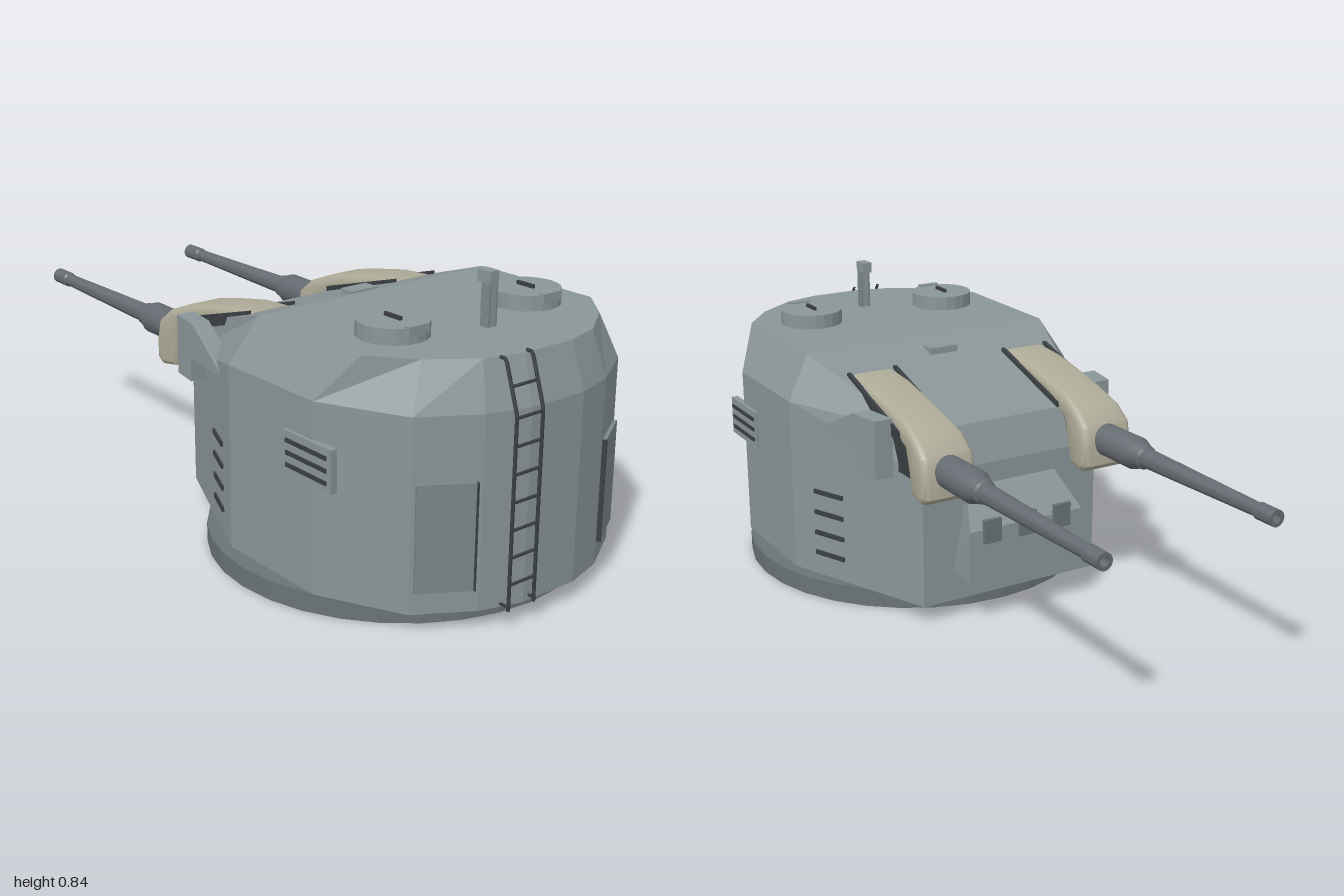
import * as THREE from 'three';
import { toCreasedNormals } from 'three/addons/utils/BufferGeometryUtils.js';

const paint = (color, extra = {}) => new THREE.MeshStandardMaterial({ color, ...extra });
const HULL = paint(0x8a9598, { flatShading: true });
const PLATE = paint(0x7c8789, { flatShading: true });
const BASE = paint(0x6a7375, { flatShading: true });
const DARK = paint(0x3a3f43);
const STEEL = paint(0x656b71);
const CANVAS = paint(0xaeab98);

function add(parent, name, geometry, material, pos = [0, 0, 0], ry = 0) {
  const mesh = new THREE.Mesh(geometry, material);
  mesh.name = name;
  mesh.position.set(...pos);
  mesh.rotation.y = ry;
  parent.add(mesh);
  return mesh;
}
const box = (w, h, d) => new THREE.BoxGeometry(w, h, d);

// Extrudes a (z, y) side profile across x, centred on x = 0
function sideExtrude(points, width, bevel = 0) {
  const shape = new THREE.Shape(points.map(p => new THREE.Vector2(...p)));
  const depth = width - 2 * bevel;
  const g = new THREE.ExtrudeGeometry(shape, {
    depth, bevelEnabled: bevel > 0, bevelSize: bevel, bevelThickness: bevel, bevelOffset: -bevel, bevelSegments: 3,
  });
  return g.translate(0, 0, -depth / 2).rotateY(-Math.PI / 2);
}

// Moves vertices by a rule
function reshape(g, rule) {
  const p = g.attributes.position, v = new THREE.Vector3();
  for (let i = 0; i < p.count; i++) {
    rule(v.fromBufferAttribute(p, i));
    p.setXYZ(i, v.x, v.y, v.z);
  }
  g.computeVertexNormals();
  return g;
}

// Faceted armour shell from three mirrored rings
function hullGeometry() {
  const mirror = half => [...half, ...half.map(([x, y, z]) => [-x, y, z]).reverse()];
  const mid = mirror([[.09, .57, .975], [.21, .57, .94], [.36, .57, .85], [.475, .57, .62], [.475, .57, .27], [.285, .45, -.18]]);
  const roof = mirror([[.08, .695, .935], [.19, .695, .905], [.31, .695, .82], [.4, .695, .71], [.4, .695, .3], [.28, .56, -.14]]);
  const low = mid.map(([x, , z]) => [x, .055, z]);
  const out = [];
  const fan = pts => {
    for (let i = 1; i < pts.length - 1; i++) out.push(...pts[0], ...pts[i], ...pts[i + 1]);
  };
  const n = mid.length;
  for (let i = 0; i < n; i++) {
    const j = (i + 1) % n;
    fan([low[i], low[j], mid[j], mid[i]]);
    fan([mid[i], mid[j], roof[j], roof[i]]);
  }
  fan([0, 1, 2, 3, 4, 7, 8, 9, 10, 11].map(i => roof[i]));
  fan([4, 5, 6, 7].map(i => roof[i]));
  fan([...low].reverse());
  const g = new THREE.BufferGeometry();
  g.setAttribute('position', new THREE.Float32BufferAttribute(out, 3));
  g.computeVertexNormals();
  return g;
}

function makeGun(side) {
  const gun = new THREE.Group();
  gun.name = side > 0 ? 'leftGun' : 'rightGun';
  gun.position.x = side * .258;

  // Barrel with sleeve, taper, muzzle ring and bore
  const profile = [[0, 0], [.045, 0], [.047, .26], [.036, .29], [.034, .305], [.028, .31], [.019, .77],
    [.023, .775], [.023, .84], [.013, .84], [.012, .79], [0, .79]].map(p => new THREE.Vector2(...p));
  const barrel = toCreasedNormals(new THREE.LatheGeometry(profile, 20).rotateX(-Math.PI / 2), .5);
  add(gun, 'barrel', barrel, STEEL, [0, .488, -.16]).rotation.x = .012;

  // Curved hood that drops over the front of the gun port
  const hood = reshape(sideExtrude([[.165, .655], [.06, .648], [-.06, .625], [-.15, .605], [-.225, .575], [-.275, .535],
    [-.288, .48], [-.29, .42], [-.265, .4], [-.2, .41], [-.185, .47], [-.16, .53], [-.08, .56], [.165, .6]], .142, .018),
  v => { v.x *= 1 + .16 * THREE.MathUtils.smoothstep(-v.z, .14, .26); });
  add(gun, 'hood', toCreasedNormals(hood, .7), CANVAS);
  // Rails beside the hood
  for (const s of [-1, 1])
    add(gun, 'hoodRail', sideExtrude([[.165, .663], [-.14, .575], [-.14, .54], [.165, .63]], .012), DARK, [s * .074, 0, 0]);
  add(gun, 'gunCradle', box(.12, .1, .16), DARK, [0, .495, -.12]);
  return gun;
}

export function createModel() {
  const model = new THREE.Group();
  model.name = 'gunTurret';

  add(model, 'baseRing', new THREE.CylinderGeometry(.525, .525, .055, 32), BASE, [0, .0275, .39]);
  add(model, 'armourShell', hullGeometry(), HULL);

  // Wedge box on the gun face, with three flaps
  const wedge = reshape(sideExtrude([[-.17, .14], [-.17, .4], [-.185, .385], [-.265, .29], [-.265, .14]].reverse(), .37),
    v => { if (v.y > .35) v.x *= .8; });
  add(model, 'faceBox', wedge, HULL);
  for (const x of [-.115, 0, .115]) add(model, 'faceFlap', box(.055, .07, .012), BASE, [x, .285, -.268]);

  // Sight block on the sloped roof
  add(model, 'roofSight', box(.09, .028, .05), HULL, [0, .67, .225]);

  // Periscope
  const scope = new THREE.Group();
  scope.name = 'periscope';
  add(scope, 'post', box(.02, .12, .022), HULL, [0, .75, .728]);
  for (const s of [-1, 1]) add(scope, 'postEdge', box(.005, .12, .03), PLATE, [s * .012, .75, .728]);
  add(scope, 'head', box(.03, .032, .046), HULL, [0, .825, .722]);
  model.add(scope);

  for (const s of [-1, 1]) {
    model.add(makeGun(s));

    // Cheek plate outside each gun
    const cheek = sideExtrude([[.19, .5], [0, .6], [-.1, .6], [-.1, .43], [-.015, .43], [-.015, .5]].reverse(), .055);
    reshape(cheek, v => { v.x = s * (v.x + .36 + .17 * (v.z + .1)); });
    if (s < 0) { // restore face direction after mirroring
      const a = cheek.attributes.position, t = new THREE.Vector3(), u = new THREE.Vector3();
      for (let i = 0; i < a.count; i += 3) {
        t.fromBufferAttribute(a, i); u.fromBufferAttribute(a, i + 1);
        a.setXYZ(i, u.x, u.y, u.z); a.setXYZ(i + 1, t.x, t.y, t.z);
      }
      cheek.computeVertexNormals();
    }
    add(model, 'cheekPlate', cheek, HULL);

    // Roof hatch
    const hatch = new THREE.Group();
    hatch.name = 'roofHatch';
    hatch.position.set(s * .232, .695, .63);
    add(hatch, 'lid', new THREE.CylinderGeometry(.095, .095, .042, 20), HULL, [0, .021, 0]);
    add(hatch, 'hinge', box(.066, .025, .02), HULL, [0, .034, .088]);
    add(hatch, 'handle', box(.008, .012, .06), DARK, [0, .046, 0]);
    model.add(hatch);

    // Door on the angled rear wall
    const door = new THREE.Group();
    door.name = 'door';
    door.position.set(s * .285, .258, .895);
    door.rotation.y = s * Math.atan2(.09, .15);
    add(door, 'panel', box(.152, .285, .02), PLATE);
    add(door, 'hingeStrip', box(.006, .285, .024), DARK, [-s * .074, 0, 0]);
    model.add(door);

    // Louvred vent on the flat side wall
    add(model, 'ventPanel', box(.02, .115, .19), HULL, [s * .474, .4125, .605]);
    for (const y of [.38, .4125, .445]) add(model, 'ventSlat', box(.008, .011, .16), DARK, [s * .484, y, .605]);

    // Slots on the tapering wall
    for (const y of [.125, .188, .252, .316])
      add(model, 'wallSlot', box(.108, .013, .014), DARK, [s * .419, y, .14], s * Math.atan2(.45, -.19));
  }

  // Ladder following the rear wall and its sloped upper edge
  const ladder = new THREE.Group();
  ladder.name = 'ladder';
  for (const x of [-.16, -.072]) {
    const path = new THREE.CurvePath();
    const pts = [[.06, .993], [.57, .993], [.7, .95], [.7, .932]].map(([y, z]) => new THREE.Vector3(x, y, z));
    for (let i = 0; i < 3; i++) path.add(new THREE.LineCurve3(pts[i], pts[i + 1]));
    add(ladder, 'rail', new THREE.TubeGeometry(path, 48, .005, 6), DARK);
    add(ladder, 'footBracket', box(.006, .006, .03), DARK, [x, .07, .98]);
  }
  for (let i = 0; i < 8; i++) {
    const y = .13 + i * .0723;
    const z = y > .57 ? .993 - (y - .57) * .33 : .993;
    add(ladder, 'rung', new THREE.CylinderGeometry(.004, .004, .088, 6).rotateZ(Math.PI / 2), DARK, [-.116, y, z]);
  }
  model.add(ladder);
  return model;
}
